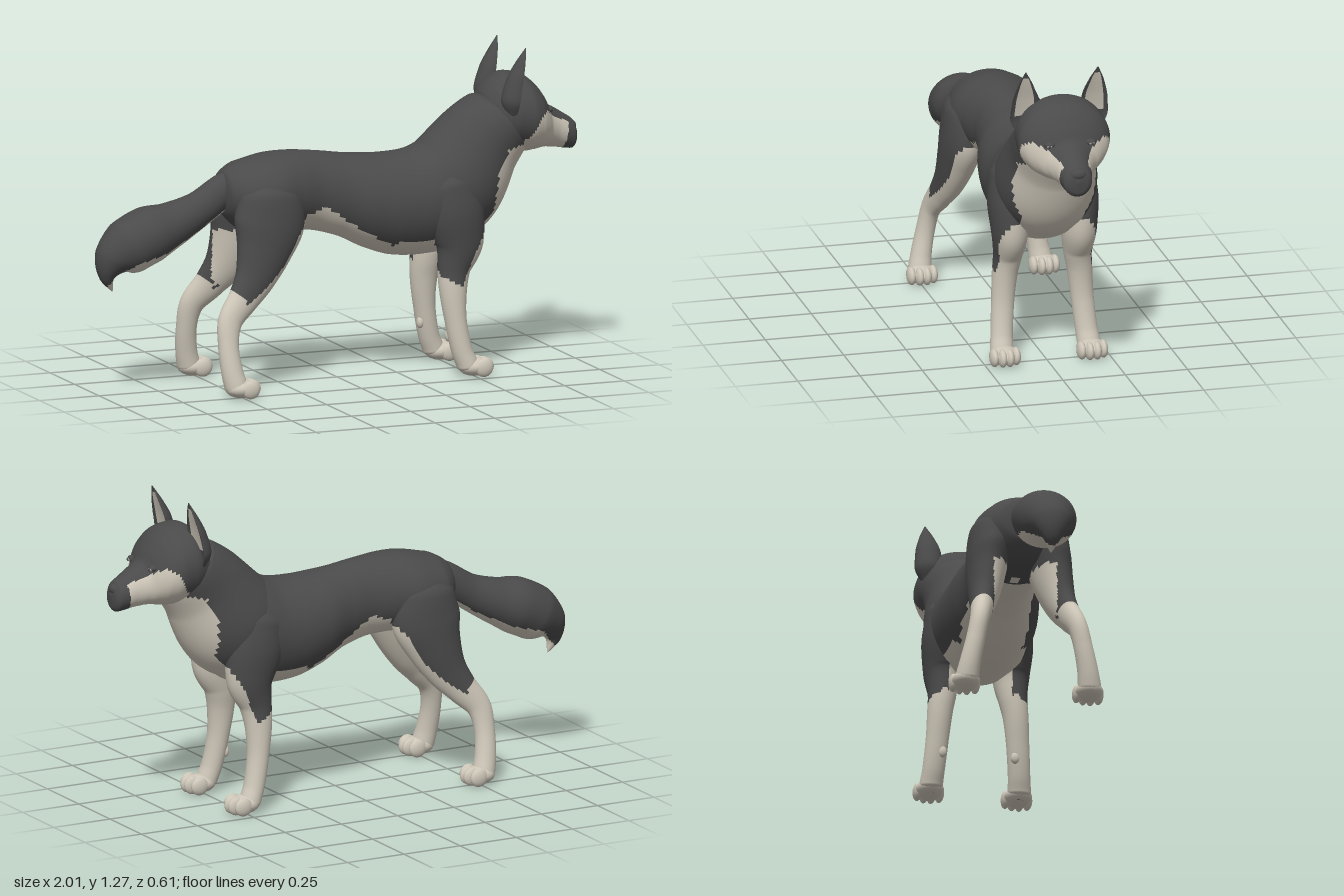
import * as THREE from 'three';

const dark = new THREE.MeshStandardMaterial({ color: 0x4a4a4a });
dark.name = 'charcoalFur';
const pale = new THREE.MeshStandardMaterial({ color: 0xcdc6b8 });
pale.name = 'creamFur';
const iris = new THREE.MeshStandardMaterial({ color: 0x9a968e });
iris.name = 'greyEye';

// Piecewise-linear height of a line at x
function line(pts, x) {
  if (x <= pts[0][0]) return pts[0][1];
  for (let i = 1; i < pts.length; i++) {
    const [x0, y0] = pts[i - 1], [x1, y1] = pts[i];
    if (x <= x1) return y0 + (y1 - y0) * (x - x0) / (x1 - x0);
  }
  return pts[pts.length - 1][1];
}

// Smooth tube through stations [x, y, z, radius in side plane, radius in z].
// isPale(point, cos) picks the colour of each face.
function loft(name, stations, isPale, { upright = false, side = 1, dent = 1, n = 72, m = 64 } = {}) {
  const path = new THREE.CatmullRomCurve3(stations.map(s => new THREE.Vector3(s[0], s[1], s[2] * side)));
  const radii = new THREE.CatmullRomCurve3(stations.map(s => new THREE.Vector3(s[3], s[4], 0)));
  const pos = [], darkFaces = [], paleFaces = [];
  for (let i = 0; i <= n; i++) {
    const c = path.getPoint(i / n), r = radii.getPoint(i / n);
    const t = upright ? new THREE.Vector3(1, 0, 0) : path.getTangent(i / n).setZ(0).normalize();
    for (let j = 0; j < m; j++) {
      const th = j / m * Math.PI * 2, cos = Math.cos(th);
      const u = cos * r.x * (cos < 0 ? dent : 1);
      pos.push(c.x - t.y * u, c.y + t.x * u, c.z + Math.sin(th) * r.y);
    }
  }
  const p = new THREE.Vector3(), q = new THREE.Vector3();
  for (let i = 0; i < n; i++) for (let j = 0; j < m; j++) {
    const k = (j + 1) % m;
    const a = i * m + j, b = i * m + k, c = (i + 1) * m + k, d = (i + 1) * m + j;
    p.fromArray(pos, a * 3).add(q.fromArray(pos, c * 3)).multiplyScalar(0.5);
    (isPale(p, Math.cos((j + 0.5) / m * Math.PI * 2)) ? paleFaces : darkFaces).push(a, b, c, a, c, d);
  }
  // End caps
  for (let j = 1; j < m - 1; j++) {
    darkFaces.push(0, j + 1, j);
    darkFaces.push(n * m, n * m + j, n * m + j + 1);
  }
  const g = new THREE.BufferGeometry();
  g.setAttribute('position', new THREE.Float32BufferAttribute(pos, 3));
  g.setIndex([...darkFaces, ...paleFaces]);
  g.addGroup(0, darkFaces.length, 0);
  g.addGroup(darkFaces.length, paleFaces.length, 1);
  g.computeVertexNormals();
  const mesh = new THREE.Mesh(g, [dark, pale]);
  mesh.name = name;
  return mesh;
}

// Section given by top and bottom heights
const slab = ([x, top, bottom, w]) => [x, (top + bottom) / 2, 0, (top - bottom) / 2, w];

function ball(name, mat, x, y, z, rx, ry, rz) {
  const mesh = new THREE.Mesh(new THREE.SphereGeometry(1, 20, 14), mat);
  mesh.name = name;
  mesh.position.set(x, y, z);
  mesh.scale.set(rx, ry, rz);
  return mesh;
}

// Coat: cream below this line and on the inner legs
const coatLine = [[-0.52, 0.42], [-0.46, 0.36], [-0.4, 0.4], [-0.3, 0.49], [-0.25, 0.58], [-0.17, 0.68], [-0.1, 0.7],
  [-0.05, 0.68], [0, 0.63], [0.1, 0.58], [0.15, 0.52], [0.17, 0.5], [0.2, 0.54], [0.35, 0.54], [0.37, 0.4],
  [0.45, 0.36], [0.5, 0.48], [0.55, 0.57], [0.6, 0.64], [0.61, 0.78], [0.66, 0.88], [0.78, 0.9]];
const coat = p => p.y < line(coatLine, p.x) || (Math.abs(p.z) < 0.125 && p.y < 0.6);

const tailLine = [[-1, 0.4], [-0.93, 0.48], [-0.87, 0.53], [-0.75, 0.56], [-0.6, 0.63], [-0.45, 0.73]];
const maskLine = [[0.6, 0.84], [0.7, 0.88], [0.75, 0.93], [0.79, 1.0], [0.83, 1.02], [0.87, 0.985], [0.95, 0.95]];
const mask = p => p.x < 0.935 + (p.y - 0.84) * 0.15 && p.y < line(maskLine, p.x)
  && !(Math.abs(p.z) < 0.04 && p.y > 0.9);

// Rounded paw with four toes
function paw(name, x, z) {
  const g = new THREE.Group();
  g.name = name;
  g.add(ball('pad', pale, x + 0.015, 0.037, z, 0.065, 0.037, 0.056));
  for (const k of [-1.5, -0.5, 0.5, 1.5]) {
    const outer = Math.abs(k) > 1;
    g.add(ball('toe', pale, x + (outer ? 0.038 : 0.053), 0.036, z + k * 0.029, 0.037, 0.036, 0.018));
  }
  return g;
}

export function createModel() {
  const dog = new THREE.Group();
  dog.name = 'dog';

  // Trunk, neck and tail
  dog.add(loft('torso', [[-0.5, 0.8, 0.74, 0.02], [-0.48, 0.85, 0.68, 0.1], [-0.42, 0.885, 0.62, 0.16],
    [-0.3, 0.91, 0.6, 0.18], [-0.2, 0.914, 0.6, 0.155], [-0.1, 0.905, 0.59, 0.135], [0, 0.89, 0.56, 0.145],
    [0.1, 0.88, 0.51, 0.175], [0.2, 0.876, 0.475, 0.19], [0.3, 0.885, 0.465, 0.195], [0.4, 0.92, 0.47, 0.2],
    [0.5, 0.88, 0.5, 0.185], [0.56, 0.82, 0.54, 0.15], [0.6, 0.75, 0.58, 0.1], [0.615, 0.68, 0.66, 0.01]].map(slab),
  coat, { upright: true, n: 110 }));
  dog.add(loft('neck', [[0.31, 0.58, 0, 0.03, 0.03], [0.37, 0.64, 0, 0.18, 0.16], [0.475, 0.735, 0, 0.212, 0.2],
    [0.59, 0.885, 0, 0.178, 0.172], [0.68, 0.975, 0, 0.145, 0.165], [0.73, 1.03, 0, 0.06, 0.08],
    [0.74, 1.04, 0, 0.005, 0.005]], coat));
  dog.add(loft('tail', [[-0.4, 0.82, 0, 0.05, 0.05], [-0.48, 0.775, 0, 0.066, 0.06], [-0.58, 0.71, 0, 0.07, 0.066],
    [-0.7, 0.655, 0, 0.09, 0.095], [-0.8, 0.62, 0, 0.112, 0.12], [-0.88, 0.58, 0, 0.11, 0.115],
    [-0.945, 0.53, 0, 0.076, 0.08], [-0.967, 0.47, 0, 0.032, 0.04], [-0.945, 0.41, 0, 0.002, 0.002]],
  p => p.y < line(tailLine, p.x)));

  // Head with muzzle and nose
  dog.add(loft('head', [[0.59, 1.02, 0.97, 0.02], [0.6, 1.08, 0.93, 0.09], [0.64, 1.13, 0.87, 0.15],
    [0.7, 1.16, 0.85, 0.18], [0.76, 1.15, 0.842, 0.184], [0.81, 1.115, 0.845, 0.165], [0.845, 1.07, 0.85, 0.13],
    [0.87, 1.025, 0.85, 0.098], [0.91, 1.0, 0.845, 0.074], [0.95, 0.975, 0.838, 0.064], [0.98, 0.955, 0.835, 0.056],
    [0.993, 0.93, 0.85, 0.038], [0.998, 0.9, 0.89, 0.003]].map(slab), mask, { upright: true, n: 90 }));
  dog.add(ball('nose', dark, 0.973, 0.925, 0, 0.027, 0.025, 0.038));

  for (const s of [1, -1]) {
    const tag = s > 0 ? 'right' : 'left';
    // Cupped ear with a cream inside
    dog.add(loft(tag + 'Ear', [[0.685, 1.01, 0.14, 0.03, 0.03], [0.69, 1.07, 0.14, 0.055, 0.055],
      [0.705, 1.15, 0.139, 0.045, 0.05], [0.722, 1.22, 0.142, 0.024, 0.028], [0.733, 1.273, 0.145, 0.002, 0.002]],
    (p, cos) => cos < -0.7 && p.y > 1.08 && p.y < 1.25, { side: s, dent: -0.15, n: 32, m: 40 }));
    // Eye with a dark lid
    dog.add(ball(tag + 'Eyelid', dark, 0.857, 1.012, s * 0.082, 0.016, 0.013, 0.022));
    dog.add(ball(tag + 'Eye', iris, 0.863, 1.009, s * 0.084, 0.013, 0.008, 0.014));
    dog.add(ball(tag + 'Pupil', dark, 0.873, 1.009, s * 0.086, 0.005, 0.006, 0.005));

    // Legs and paws
    dog.add(loft(tag + 'FrontLeg', [[0.4, 0.83, 0.13, 0.03, 0.02], [0.415, 0.76, 0.133, 0.11, 0.07],
      [0.435, 0.65, 0.138, 0.12, 0.08], [0.455, 0.52, 0.138, 0.098, 0.07], [0.432, 0.42, 0.14, 0.066, 0.056],
      [0.425, 0.34, 0.15, 0.055, 0.05], [0.432, 0.22, 0.16, 0.043, 0.045], [0.455, 0.1, 0.17, 0.041, 0.044],
      [0.475, 0.045, 0.175, 0.042, 0.046], [0.48, 0.012, 0.175, 0.02, 0.02]], coat, { side: s }));
    dog.add(ball(tag + 'Dewclaw', pale, 0.408, 0.16, s * 0.145, 0.014, 0.024, 0.018));
    dog.add(paw(tag + 'FrontPaw', 0.49, s * 0.175));
    dog.add(loft(tag + 'HindLeg', [[-0.33, 0.85, 0.1, 0.03, 0.02], [-0.33, 0.77, 0.115, 0.125, 0.075],
      [-0.335, 0.66, 0.122, 0.145, 0.082], [-0.365, 0.55, 0.135, 0.115, 0.073], [-0.41, 0.45, 0.152, 0.084, 0.058],
      [-0.465, 0.375, 0.172, 0.064, 0.045], [-0.53, 0.295, 0.195, 0.05, 0.038], [-0.545, 0.2, 0.215, 0.041, 0.038],
      [-0.537, 0.1, 0.235, 0.043, 0.042], [-0.525, 0.045, 0.243, 0.045, 0.046], [-0.52, 0.012, 0.243, 0.02, 0.02]],
    coat, { side: s }));
    dog.add(paw(tag + 'HindPaw', -0.518, s * 0.245));
  }
  return dog;
}
